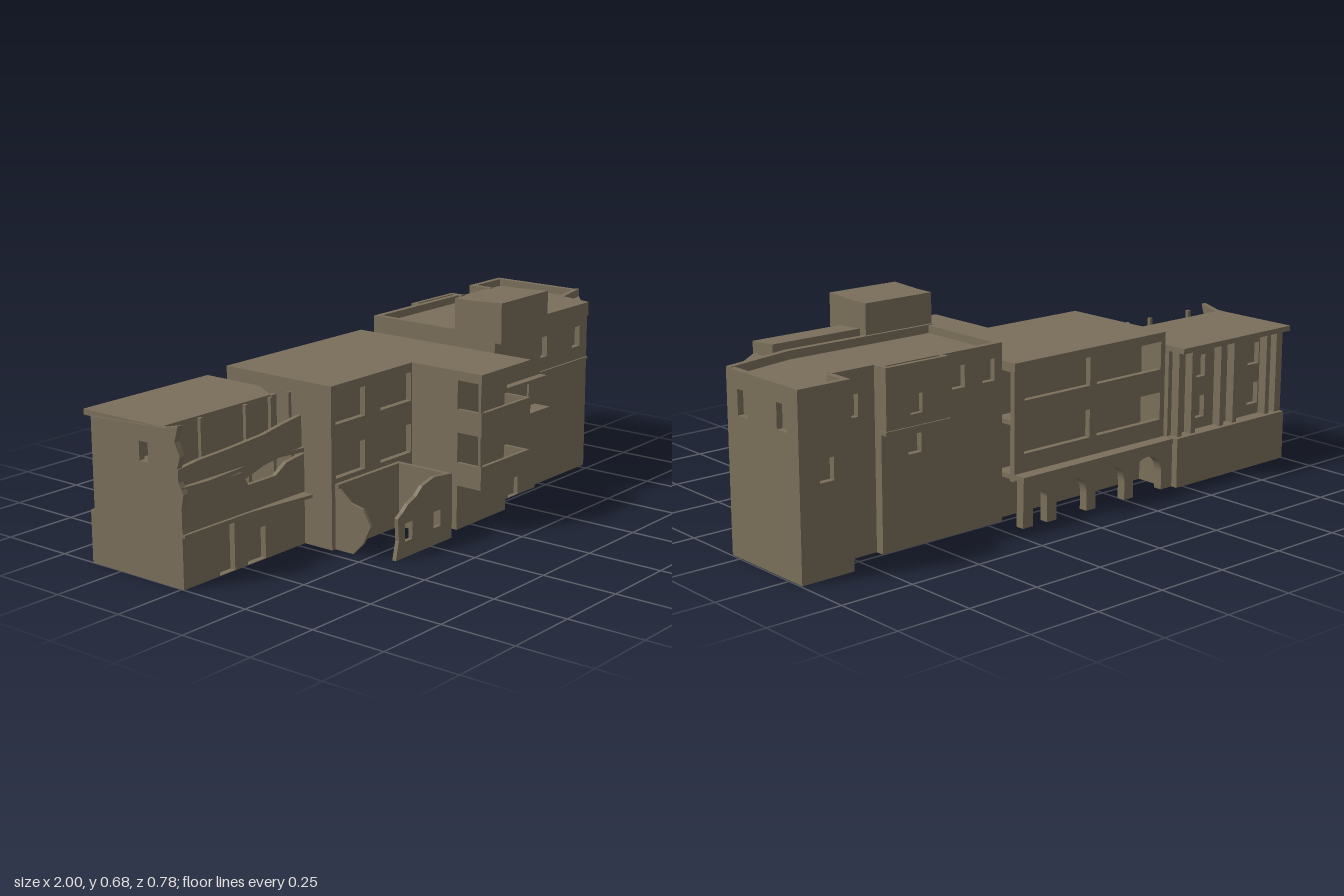
import * as THREE from 'three';

export function createModel() {
  const model = new THREE.Group();
  const stone = new THREE.MeshStandardMaterial({ color: 0x7a6f5a, side: THREE.DoubleSide });
  stone.name = 'weathered stone';

  const add = (name, geo, parent = model) => {
    const m = new THREE.Mesh(geo, stone);
    m.name = name;
    parent.add(m);
    return m;
  };
  const box = (name, x0, x1, y0, y1, z0, z1) =>
    add(name, new THREE.BoxGeometry(x1 - x0, y1 - y0, z1 - z0)
      .translate((x0 + x1) / 2, (y0 + y1) / 2, (z0 + z1) / 2));
  const toShape = pts => new THREE.Shape(pts.map(p => new THREE.Vector2(...p)));
  // Flat slab from an [x, z] outline
  const slab = (name, pts, y0, y1) =>
    add(name, new THREE.ExtrudeGeometry(toShape(pts.map(([x, z]) => [x, -z])), { depth: y1 - y0, bevelEnabled: false })
      .rotateX(-Math.PI / 2).translate(0, y0, 0));

  // Wall whose outer face runs from a to b ([x, z]), outside on the right hand.
  // profile: [u, y] outline; holes: [u0, y0, u1, y1]; closed holes get a recessed panel.
  const wall = (name, a, b, profile, holes = [], closed = true, t = 0.02) => {
    const g = new THREE.Group();
    g.name = name;
    const shape = toShape(profile);
    for (const [u0, y0, u1, y1] of holes) {
      shape.holes.push(new THREE.Path([[u0, y0], [u0, y1], [u1, y1], [u1, y0]].map(p => new THREE.Vector2(...p))));
      if (closed) add('recessedPanel', new THREE.PlaneGeometry(u1 - u0, y1 - y0)
        .translate((u0 + u1) / 2, (y0 + y1) / 2, -t), g);
    }
    add('masonry', new THREE.ExtrudeGeometry(shape, { depth: t, bevelEnabled: false, curveSegments: 8 }).translate(0, 0, -t), g);
    g.position.set(a[0], 0, a[1]);
    g.rotation.y = -Math.atan2(b[1] - a[1], b[0] - a[0]);
    model.add(g);
    return g;
  };
  const rectWall = (name, a, b, y0, y1, holes, closed, t) => {
    const l = Math.hypot(b[0] - a[0], b[1] - a[1]);
    return wall(name, a, b, [[0, y0], [l, y0], [l, y1], [0, y1]], holes, closed, t);
  };

  // ---- Right block: walls round an irregular plan ----
  const E = 0.995;
  const plan = [[0.19, 0.22], [0.78, 0.22], [E, 0.045], [E, -0.308], [0.81, -0.308],
    [0.81, -0.22], [0.66, -0.22], [0.66, -0.25], [0.19, -0.25]];
  const planHoles = [
    [[0.3, 0.44, 0.345, 0.51], [0.5, 0.44, 0.545, 0.51]],
    [[0.03, 0.28, 0.08, 0.35], [0.155, 0.28, 0.2, 0.35], [0.115, 0.002, 0.175, 0.09]],
    [[0.055, 0.44, 0.105, 0.52], [0.25, 0.44, 0.3, 0.52]],
    [[0.07, 0.29, 0.12, 0.36]],
    [],
    [[0.04, 0.43, 0.09, 0.5]],
    [],
    [[0.1, 0.29, 0.15, 0.35], [0.27, 0.46, 0.32, 0.53], [0.39, 0.46, 0.44, 0.53]],
    [],
  ];
  plan.forEach((p, i) => rectWall('mainBlockWall', p, plan[(i + 1) % plan.length], 0, i < 2 ? 0.55 : 0.575, planHoles[i]));
  slab('mainBlockRoof', plan, 0.54, 0.55);
  rectWall('cornerParapet', [0.75, 0.1], [E, 0.045], 0.55, 0.577);
  rectWall('frontParapet', [0.19, 0.1], [0.75, 0.1], 0.55, 0.577);
  // Raised front room with a gently sloping top
  const raised = box('raisedFrontRoom', 0.45, 0.78, 0.54, 0.594, 0.12, 0.225);
  const rp = raised.geometry.attributes.position;
  for (let i = 0; i < rp.count; i++) if (rp.getZ(i) > 0.2 && rp.getY(i) > 0.57) rp.setY(i, 0.587);
  box('frontLedge', 0.45, 0.78, 0.386, 0.394, 0.21, 0.227);
  // Overhanging room at the back
  rectWall('backBayFace', [0.66, -0.275], [0.425, -0.275], 0.38, 0.575, [[0.09, 0.42, 0.135, 0.48]], true, 0.015);
  for (const x of [0.425, 0.645]) box('backBaySide', x, x + 0.015, 0.38, 0.575, -0.274, -0.23);
  box('backBayLedge', 0.42, 0.665, 0.372, 0.384, -0.28, -0.24);

  // ---- Tower with loggia ----
  box('towerTop', 0.19, 0.452, 0.55, 0.678, 0.09, 0.275);
  const cap = box('towerCap', 0.19, 0.452, 0.675, 0.684, 0.09, 0.275);
  const cp = cap.geometry.attributes.position;
  for (let i = 0; i < cp.count; i++) if (cp.getZ(i) < 0.2) cp.setY(i, cp.getY(i) - 0.009);
  box('towerUpperWall', 0.19, 0.452, 0.395, 0.55, 0.2, 0.25);
  const awning = box('towerAwning', 0.19, 0.452, 0.385, 0.396, 0.2, 0.277);
  awning.geometry.translate(0, 0.003, 0);
  rectWall('towerLoggiaWall', [0.19, 0.228], [0.452, 0.228], 0.285, 0.39,
    [[0.04, 0.302, 0.09, 0.378], [0.18, 0.302, 0.23, 0.378]], true, 0.03);
  box('towerBalcony', 0.19, 0.455, 0.28, 0.292, 0.2, 0.29);
  rectWall('towerGroundWall', [0.19, 0.237], [0.452, 0.237], 0, 0.28, [[0.105, 0.002, 0.16, 0.085]], true, 0.015);
  rectWall('towerGroundSide', [0.452, 0.237], [0.452, 0.2], 0, 0.28);

  // ---- Middle block ----
  const W = -0.47;
  slab('middleRoof', [[W, 0.12], [-0.075, 0.12], [-0.075, 0.392], [0.19, 0.392], [0.19, -0.308], [W, -0.308]], 0.488, 0.518);
  rectWall('middleFrontWall', [W, 0.12], [-0.075, 0.12], 0, 0.49,
    [0.225, 0.395].flatMap(y => [0.005, 0.235].map(u => [u, y, u + 0.155, y + 0.094])), false);
  rectWall('middleWestWall', [W, -0.308], [W, 0.12], 0, 0.49);
  rectWall('middleRearFacade', [0.19, -0.308], [W, -0.308], 0.14, 0.49,
    [0.225, 0.395].flatMap(y => [[0.04, y, 0.32, y + 0.093], [0.35, y, 0.64, y + 0.093]]), false);
  for (const z of [-0.22, 0.03]) box('innerWall', W, 0.19, 0, 0.49, z, z + 0.015);
  for (const y of [0.147, 0.32]) box('middleFloor', W, 0.19, y, y + 0.015, -0.305, 0.115);

  // Rear arcade with one small and three wide arches
  const arcade = toShape([[0, 0], [0.04, 0]]);
  const arch = (u0, u1, spring) => {
    const r = (u1 - u0) / 2;
    arcade.lineTo(u0, 0);
    arcade.lineTo(u0, spring);
    arcade.absarc(u0 + r, spring, r, Math.PI, 0, true);
    arcade.lineTo(u1, 0);
  };
  arch(0.04, 0.1, 0.08);
  for (const u of [0.14, 0.31, 0.48]) arch(u, u + 0.13, 0.06);
  [[0.66, 0], [0.66, 0.15], [0, 0.15]].forEach(p => arcade.lineTo(...p));
  add('rearArcade', new THREE.ExtrudeGeometry(arcade, { depth: 0.03, bevelEnabled: false, curveSegments: 8 })
    .rotateY(Math.PI).translate(0.19, 0, -0.319));
  box('arcadeTerrace', W, 0.19, 0.147, 0.165, -0.352, -0.29);

  // Balcony tower on the front
  rectWall('balconyBackWall', [-0.075, 0.3], [0.19, 0.3], 0, 0.49);
  rectWall('balconyWestWall', [-0.075, 0.1], [-0.075, 0.3], 0, 0.49);
  rectWall('balconyEastWall', [0.19, 0.3], [0.19, 0.2], 0, 0.49);
  for (const y of [0.147, 0.32]) {
    box('balconyFloor', -0.075, 0.19, y, y + 0.015, 0.29, 0.392);
    box('balconyParapet', -0.075, 0.19, y, y + 0.075, 0.38, 0.392);
    for (const x of [-0.075, 0.178]) box('balconySide', x, x + 0.012, y, y + 0.075, 0.29, 0.39);
  }
  box('balconyPost', -0.075, -0.063, 0.15, 0.5, 0.38, 0.39);

  // ---- Ruined annex ----
  wall('ruinFrontWall', [-0.425, 0.333], [-0.145, 0.333],
    [[0, 0], [0.28, 0], [0.28, 0.21], [0.19, 0.22], [0.13, 0.205], [0.1, 0.18], [0.06, 0.165], [0.035, 0.145], [0.01, 0.13], [0.015, 0.06]],
    [[0.045, 0.05, 0.08, 0.108], [0.185, 0.055, 0.222, 0.108]], false, 0.014);
  rectWall('ruinEastWall', [-0.145, 0.333], [-0.145, 0.12], 0, 0.21, [], false, 0.014);
  wall('ruinWestWall', [-0.455, 0.13], [-0.455, 0.26],
    [[0, 0], [0.06, 0], [0.1, 0.04], [0.13, 0.1], [0.1, 0.15], [0.05, 0.16], [0, 0.2]], [], false, 0.01);
  rectWall('ruinBackWall', [-0.455, 0.135], [-0.145, 0.135], 0, 0.21, [], false, 0.014);

  // ---- Left wing ----
  rectWall('wingBaseRear', [W, -0.372], [-1, -0.372], 0, 0.165);
  rectWall('wingBaseEnd', [-1, -0.372], [-1, 0.01], 0, 0.165);
  rectWall('wingBaseFront', [-1, 0.01], [W, 0.01], 0, 0.165,
    [[0.27, 0.002, 0.35, 0.105], [0.15, 0.002, 0.215, 0.15]]);
  rectWall('wingBaseEast', [W, -0.3], [W, -0.372], 0, 0.165);
  slab('wingLowerFloor', [[-1, 0.02], [-0.72, 0.02], [-0.48, 0.05], [W, 0.0], [W, -0.372], [-1, -0.372]], 0.158, 0.168);
  slab('wingUpperFloor', [[-1, 0.01], [-0.9, 0.02], [-0.75, 0.005], [-0.62, -0.02], [W, 0.01], [W, -0.32], [-1, -0.32]], 0.295, 0.308);
  wall('wingEndWall', [-1, -0.356], [-1, 0],
    [[0, 0.16], [0.37, 0.16], [0.36, 0.22], [0.375, 0.29], [0.345, 0.34], [0.365, 0.4], [0.345, 0.44], [0.36, 0.49], [0.3, 0.475], [0, 0.46]],
    [[0.2, 0.36, 0.245, 0.42]], false);
  rectWall('wingRearWall', [W, -0.325], [-1, -0.325], 0.16, 0.462,
    [0.205, 0.345].flatMap(y => [0.12, 0.39].map(u => [u, y, u + 0.055, y + 0.075])));
  for (const x of [-0.497, -0.56, -0.7, -0.765, -0.93, -0.98])
    box('wingRearColumn', x - 0.01, x + 0.01, 0.165, 0.46, -0.356, -0.32);
  slab('wingRoof', [[-0.995, -0.07], [-0.53, -0.07], [W, -0.17], [W, -0.392], [-0.995, -0.392]], 0.457, 0.475);
  // Broken front parapets
  wall('wingLowerParapet', [-1, 0.01], [W, 0.01],
    [[0, 0.165], [0.53, 0.165], [0.53, 0.29], [0.45, 0.28], [0.4, 0.25], [0.28, 0.25], [0.25, 0.295], [0, 0.295]], [], false, 0.015);
  wall('wingUpperParapet', [-1, 0], [W, 0],
    [[0, 0.3], [0.22, 0.3], [0.26, 0.262], [0.36, 0.29], [0.53, 0.31], [0.53, 0.41], [0.45, 0.4], [0.36, 0.385], [0.2, 0.375], [0.08, 0.37], [0, 0.36]], [], false, 0.015);
  rectWall('wingInnerWall', [-1, -0.1], [W, -0.1], 0.165, 0.46);
  for (const x of [-0.88, -0.69, -0.58, -0.5]) {
    box('wingUpperPost', x - 0.006, x + 0.006, 0.3, 0.485, -0.03, -0.018);
    box('wingPartition', x - 0.006, x + 0.006, 0.168, 0.3, -0.1, -0.01);
  }
  return model;
}
